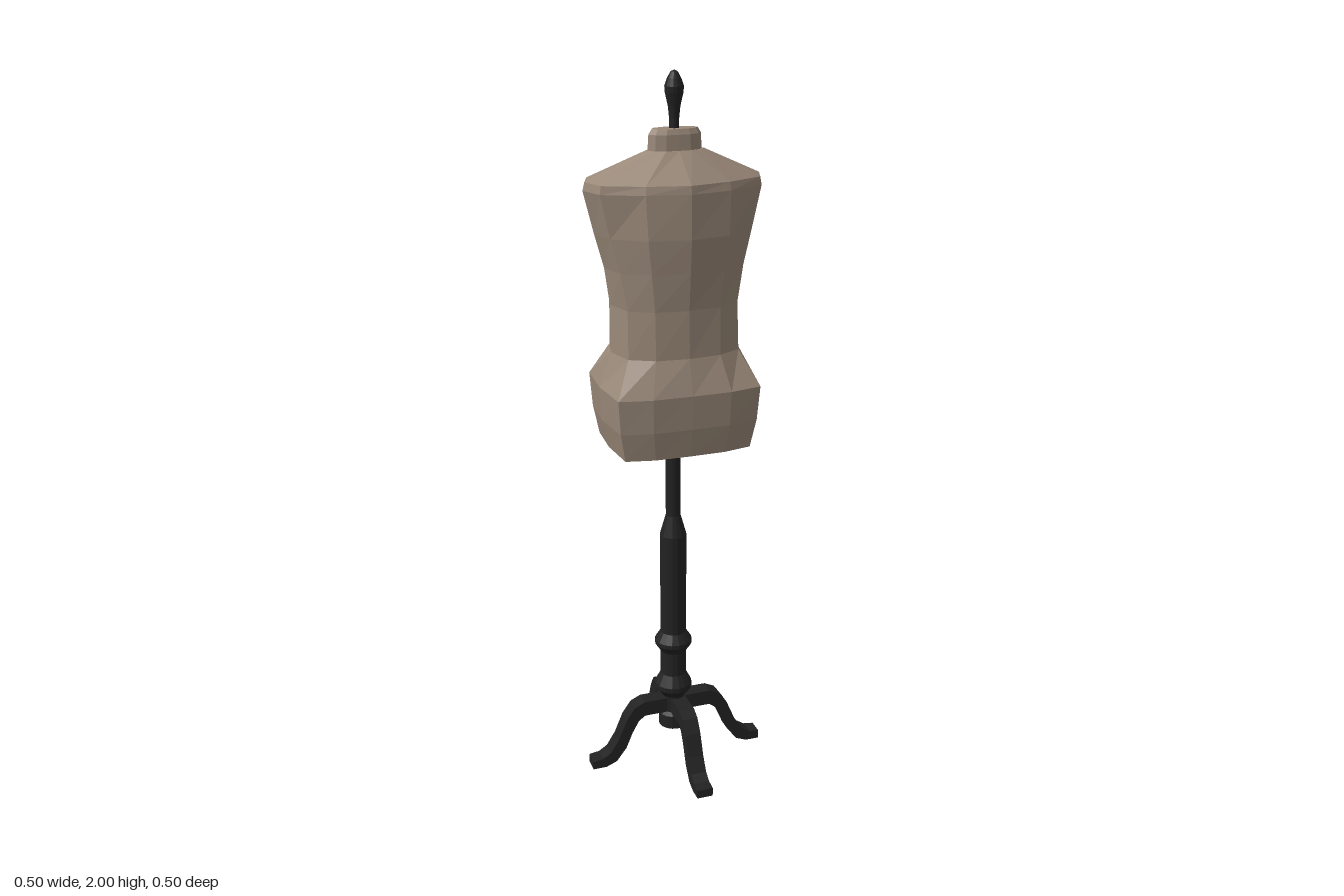
import * as THREE from 'three';

const fabric = new THREE.MeshStandardMaterial({ color: 0x9a8979, flatShading: true });
fabric.name = 'taupe fabric';
const wood = new THREE.MeshStandardMaterial({ color: 0x222222, flatShading: true });
wood.name = 'black wood';

// Twelve-point ring, mirrored from one quadrant: end, corner, side and middle
function ring([y, a, b, c, d, e, f, ox = -0.004, oz = 0]) {
  return [
    [a, 0], [b, c], [d, e], [0, f], [-d, e], [-b, c],
    [-a, 0], [-b, -c], [-d, -e], [0, -f], [d, -e], [b, -c],
  ].map(([x, z]) => [x + ox, y, z + oz]);
}

// Closed skin through a stack of rings, bottom to top
function loft(rows) {
  const n = 12;
  const pos = rows.flatMap(ring).flat();
  const idx = [];
  for (let r = 0; r < rows.length - 1; r++) {
    for (let i = 0; i < n; i++) {
      const a = r * n + i, b = r * n + (i + 1) % n;
      idx.push(a, a + n, b, b, a + n, b + n);
    }
  }
  const top = (rows.length - 1) * n;
  for (let i = 1; i < n - 1; i++) {
    idx.push(0, i, i + 1, top, top + i + 1, top + i);
  }
  const geo = new THREE.BufferGeometry();
  geo.setAttribute('position', new THREE.Float32BufferAttribute(pos, 3));
  geo.setIndex(idx);
  geo.computeVertexNormals();
  return geo;
}

function add(parent, name, geo, mat) {
  const mesh = new THREE.Mesh(geo, mat);
  mesh.name = name;
  parent.add(mesh);
  return mesh;
}

function lathe(points) {
  return new THREE.LatheGeometry(points.map(([r, y]) => new THREE.Vector2(r, y)), 16);
}

export function createModel() {
  const group = new THREE.Group();
  group.name = 'dressForm';
  const form = new THREE.Group();
  form.name = 'turnedForm';
  form.rotation.y = -THREE.MathUtils.degToRad(23.7);
  group.add(form);

  // Torso: hips, waist, chest and sloping shoulders
  add(form, 'torso', loft([
    [1.0, 0.187, 0.178, 0.122, 0.098, 0.139, 0.141],
    [1.08, 0.205, 0.193, 0.132, 0.107, 0.151, 0.153],
    [1.175, 0.211, 0.2, 0.137, 0.11, 0.156, 0.158],
    [1.27, 0.178, 0.155, 0.085, 0.09, 0.12, 0.13],
    [1.4, 0.176, 0.153, 0.083, 0.09, 0.12, 0.132, -0.005, -0.003],
    [1.5, 0.19, 0.17, 0.08, 0.1, 0.126, 0.142, -0.005, -0.004],
    [1.59, 0.215, 0.194, 0.075, 0.11, 0.132, 0.151, -0.005, -0.005],
    [1.705, 0.245, 0.22, 0.07, 0.115, 0.122, 0.144, -0.005, 0],
    [1.727, 0.24, 0.216, 0.067, 0.113, 0.115, 0.139, -0.005, 0.002],
    [1.802, 0.079, 0.064, 0.022, 0.035, 0.034, 0.036, -0.009, 0.024],
  ]), fabric);

  // Neck stump
  add(form, 'neck', loft([
    [1.795, 0.074, 0.06, 0.021, 0.033, 0.032, 0.033, -0.009, 0.024],
    [1.842, 0.071, 0.058, 0.02, 0.032, 0.03, 0.031, -0.009, 0.024],
    [1.856, 0.062, 0.051, 0.016, 0.028, 0.025, 0.026, -0.009, 0.024],
  ]), fabric);

  // Finial on the neck
  const finial = add(form, 'finial', lathe([
    [0, 1.84], [0.013, 1.84], [0.013, 1.88], [0.016, 1.91], [0.024, 1.945],
    [0.025, 1.96], [0.018, 1.98], [0.009, 1.996], [0, 2],
  ]), wood);
  finial.position.set(-0.01, 0, 0.022);

  // Turned column with two beads and a thin upper pole
  const column = add(form, 'column', lathe([
    [0, 0.1], [0.043, 0.1], [0.043, 0.14], [0.034, 0.15], [0.034, 0.2],
    [0.054, 0.225], [0.054, 0.24], [0.037, 0.272], [0.037, 0.345], [0.054, 0.37],
    [0.054, 0.382], [0.037, 0.408], [0.038, 0.715], [0.021, 0.775], [0.021, 1.02], [0, 1.02],
  ]), wood);
  column.position.set(-0.006, 0, 0.002);

  // Four curved legs around the column
  const outline = [
    [0.02, 0.15], [0.1, 0.15], [0.12, 0.136], [0.14, 0.1], [0.16, 0.052], [0.19, 0.013],
    [0.222, 0], [0.262, 0], [0.262, 0.025], [0.232, 0.029], [0.207, 0.045], [0.182, 0.085],
    [0.157, 0.145], [0.132, 0.181], [0.102, 0.195], [0.02, 0.195],
  ].map(([x, y]) => new THREE.Vector2(x, y));
  const legGeo = new THREE.ExtrudeGeometry(new THREE.Shape(outline), { depth: 0.046, bevelEnabled: false });
  legGeo.translate(0, 0, -0.023);
  for (let i = 0; i < 4; i++) {
    add(form, 'leg' + (i + 1), legGeo, wood).rotation.y = i * Math.PI / 2;
  }
  return group;
}
